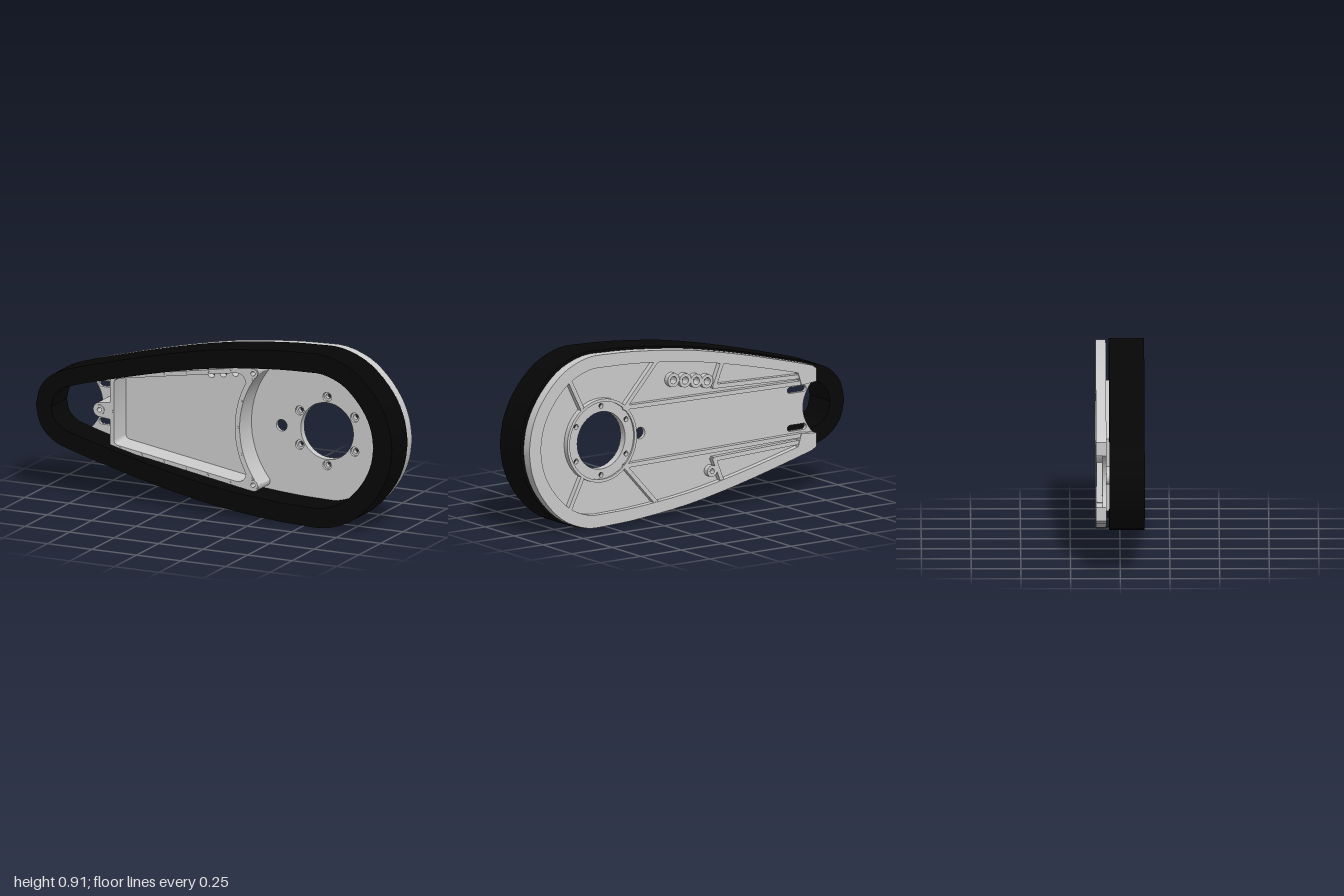
import * as THREE from 'three';
import { toCreasedNormals } from 'three/addons/utils/BufferGeometryUtils.js';

const V = (x, y) => new THREE.Vector2(x, y);
const CY = 0.4525, HUB = V(0.54, CY);
const grey = new THREE.MeshStandardMaterial({ color: 0xcccccc });
const black = new THREE.MeshStandardMaterial({ color: 0x060606 });
const mirror = (p) => V(p.x, 2 * CY - p.y);

// Closed teardrop outline, running from the narrow tip over the top and back underneath
function teardrop() {
  const top = new THREE.SplineCurve([
    [-1, CY], [-0.975, 0.55], [-0.91, 0.62], [-0.82, 0.66], [-0.6, 0.722], [-0.3, 0.797],
    [0, 0.857], [0.3, 0.892], [0.5, 0.903], [0.63, 0.901], [0.76, 0.855], [0.86, 0.775],
    [0.94, 0.67], [0.985, 0.56], [1, CY]].map(([x, y]) => V(x, y))).getPoints(42);
  return [...top, ...top.slice(1, -1).reverse().map(mirror)];
}

// Move an outline inwards by a distance that may depend on the point
function inset(pts, dist) {
  const n = pts.length;
  return pts.map((p, i) => {
    const t = pts[(i + 1) % n].clone().sub(pts[(i + n - 1) % n]).normalize();
    return V(p.x + t.y * dist(p), p.y - t.x * dist(p));
  });
}

function circle(x, y, r) {
  const path = new THREE.Path();
  path.absarc(x, y, r, 0, Math.PI * 2, false);
  return path;
}

function slot(x0, x1, y, r) {
  const path = new THREE.Path();
  path.absarc(x1, y, r, -Math.PI / 2, Math.PI / 2, false);
  path.absarc(x0, y, r, Math.PI / 2, Math.PI * 1.5, false);
  path.closePath();
  return path;
}

function extrude(name, shape, z0, z1, material = grey, smooth = true) {
  let geo = new THREE.ExtrudeGeometry(shape, { depth: z1 - z0, bevelEnabled: false, curveSegments: 20 });
  geo.translate(0, 0, z0);
  if (smooth) geo = toCreasedNormals(geo, 0.5);
  const mesh = new THREE.Mesh(geo, material);
  mesh.name = name;
  return mesh;
}

function ring(name, x, y, rOut, rIn, z0, z1) {
  const s = new THREE.Shape(circle(x, y, rOut).getPoints(20));
  s.holes.push(circle(x, y, rIn));
  return extrude(name, s, z0, z1);
}

// Straight rib on the back of the plate
function rib(a, b, width = 0.022) {
  const d = b.clone().sub(a);
  const m = new THREE.Mesh(new THREE.BoxGeometry(d.length() + width * 0.6, width, 0.03), grey);
  m.position.set((a.x + b.x) / 2, (a.y + b.y) / 2, -0.103);
  m.rotation.z = Math.atan2(d.y, d.x);
  m.name = 'backRib';
  return m;
}

export function createModel() {
  const g = new THREE.Group();
  const outline = teardrop();
  const hubHoles = [...Array(6)].map((_, i) => {
    const a = Math.PI / 2 + i * Math.PI / 3;
    return V(HUB.x + 0.178 * Math.cos(a), HUB.y + 0.178 * Math.sin(a));
  });
  const portHoles = [[-0.11, 0.673], [-0.043, 0.684], [0.025, 0.695], [0.098, 0.706]];

  // Black belt around the outside
  const belt = new THREE.Shape(outline);
  belt.holes.push(new THREE.Path(inset(outline, (p) => 0.085 + 0.01 * (p.x + 1)).reverse()));
  g.add(extrude('belt', belt, -0.055, 0.123, black, false));

  // Back plate, cut off at the narrow end with a concave notch
  const END = -0.78;
  const clip = (pts, x) => pts.filter((p) => p.x > x);
  const edge = clip(inset(outline, () => 0.008), END + 0.01);
  const plate = new THREE.Shape();
  plate.moveTo(END, 0.655);
  edge.forEach((p) => plate.lineTo(p.x, p.y));
  plate.lineTo(END, 0.25);
  plate.lineTo(END, 0.32);
  plate.quadraticCurveTo(-0.66, CY, END, 0.585);
  plate.closePath();
  plate.holes.push(circle(HUB.x, HUB.y, 0.148), circle(0.285, CY, 0.03),
    slot(-0.725, -0.64, CY + 0.098, 0.016), slot(-0.725, -0.64, CY - 0.098, 0.016));
  hubHoles.forEach((p) => plate.holes.push(circle(p.x, p.y, 0.024)));
  portHoles.forEach(([x, y]) => plate.holes.push(circle(x, y, 0.019)));
  g.add(extrude('backPlate', plate, -0.09, -0.07));

  // Raised rim on the back with solid pads at the open narrow end
  const inner = clip(inset(outline, (p) => 0.055 + 0.012 * (p.x + 1)), -0.67).reverse();
  const padEnd = [V(-0.69, 0.577), V(END, 0.585)];
  g.add(extrude('backRim', new THREE.Shape([V(END, 0.655), ...edge, V(END, 0.25),
    ...padEnd.map(mirror).reverse(), ...inner, ...padEnd]), -0.122, -0.09));

  // Hub ring; its bolt holes are narrower than the countersinks in the plate
  const hub = new THREE.Shape(circle(HUB.x, HUB.y, 0.208).getPoints(24));
  hub.holes.push(circle(HUB.x, HUB.y, 0.148));
  hubHoles.forEach((p) => hub.holes.push(circle(p.x, p.y, 0.013)));
  g.add(extrude('hubRing', hub, -0.11, -0.085));
  g.add(ring('hubLip', HUB.x, HUB.y, 0.215, 0.2, -0.119, -0.09));
  portHoles.forEach(([x, y]) => g.add(ring('portRing', x, y, 0.036, 0.019, -0.118, -0.09)));

  // Ribs on the back, mirrored above and below
  const ribs = [
    [0.66, 0.63, 0.75, 0.81], [0.4, 0.6, 0.2, 0.82], [0.4, 0.603, -0.69, 0.588],
    [-0.21, 0.775, -0.155, 0.64], [-0.155, 0.64, -0.67, 0.622],
  ];
  for (const [x0, y0, x1, y1] of ribs) {
    const a = V(x0, y0), b = V(x1, y1);
    g.add(rib(a, b), rib(mirror(a), mirror(b)));
  }
  g.add(ring('backBoss', -0.14, 0.205, 0.03, 0.013, -0.119, -0.09));

  // Housing frame standing on the front of the plate
  const Z = 0.065, AX = 0.57;
  const frame = new THREE.Shape();
  frame.moveTo(-0.612, 0.267);
  frame.lineTo(0.18, 0.13);
  frame.quadraticCurveTo(0.225, 0.125, 0.22, 0.162);
  frame.absarc(AX, CY, 0.4545, -2.45, 2.45, true);
  frame.quadraticCurveTo(0.225, 0.78, 0.18, 0.775);
  frame.lineTo(-0.612, 0.638);
  frame.closePath();
  const pocket = new THREE.Path();
  pocket.moveTo(-0.59, 0.305);
  pocket.quadraticCurveTo(-0.59, 0.281, -0.56, 0.277);
  pocket.lineTo(0.09, 0.171);
  pocket.quadraticCurveTo(0.14, 0.165, 0.15, 0.21);
  pocket.absarc(AX, CY, 0.481, -2.63, 2.63, true);
  pocket.quadraticCurveTo(0.14, 0.74, 0.09, 0.734);
  pocket.lineTo(-0.56, 0.628);
  pocket.quadraticCurveTo(-0.59, 0.624, -0.59, 0.6);
  pocket.closePath();
  const corners = [V(0.192, 0.743), mirror(V(0.192, 0.743))];
  frame.holes.push(pocket, ...corners.map((p) => circle(p.x, p.y, 0.012)));
  g.add(extrude('housingFrame', frame, -0.07, Z));
  for (const p of corners) g.add(ring('cornerBoss', p.x, p.y, 0.026, 0.012, Z, Z + 0.004));

  // Mounting ear at the narrow end
  const ear = new THREE.Shape();
  ear.moveTo(-0.605, CY + 0.045);
  ear.lineTo(-0.67, CY + 0.037);
  ear.absarc(-0.67, CY, 0.037, Math.PI / 2, Math.PI * 1.5, false);
  ear.lineTo(-0.605, CY - 0.045);
  ear.closePath();
  ear.holes.push(circle(-0.67, CY, 0.012));
  g.add(extrude('mountingEar', ear, -0.07, Z));
  g.add(ring('earBoss', -0.67, CY, 0.026, 0.012, Z, Z + 0.004));

  // Small screws along the frame
  const screws = [];
  for (let i = 0; i < 6; i++) {
    const p = V(-0.56 + i * 0.124, 0.64 + i * 0.0208);
    screws.push(p, mirror(p));
  }
  for (const a of [2.55, 2.84, Math.PI, 3.44, 3.73])
    screws.push(V(AX + 0.467 * Math.cos(a), CY + 0.467 * Math.sin(a)));
  screws.push(V(-0.601, CY));
  for (const p of screws) {
    const m = new THREE.Mesh(new THREE.CylinderGeometry(0.007, 0.007, 0.004, 10), grey);
    m.rotation.x = Math.PI / 2;
    m.position.set(p.x, p.y, Z + 0.001);
    m.name = 'frameScrew';
    g.add(m);
  }
  return g;
}
